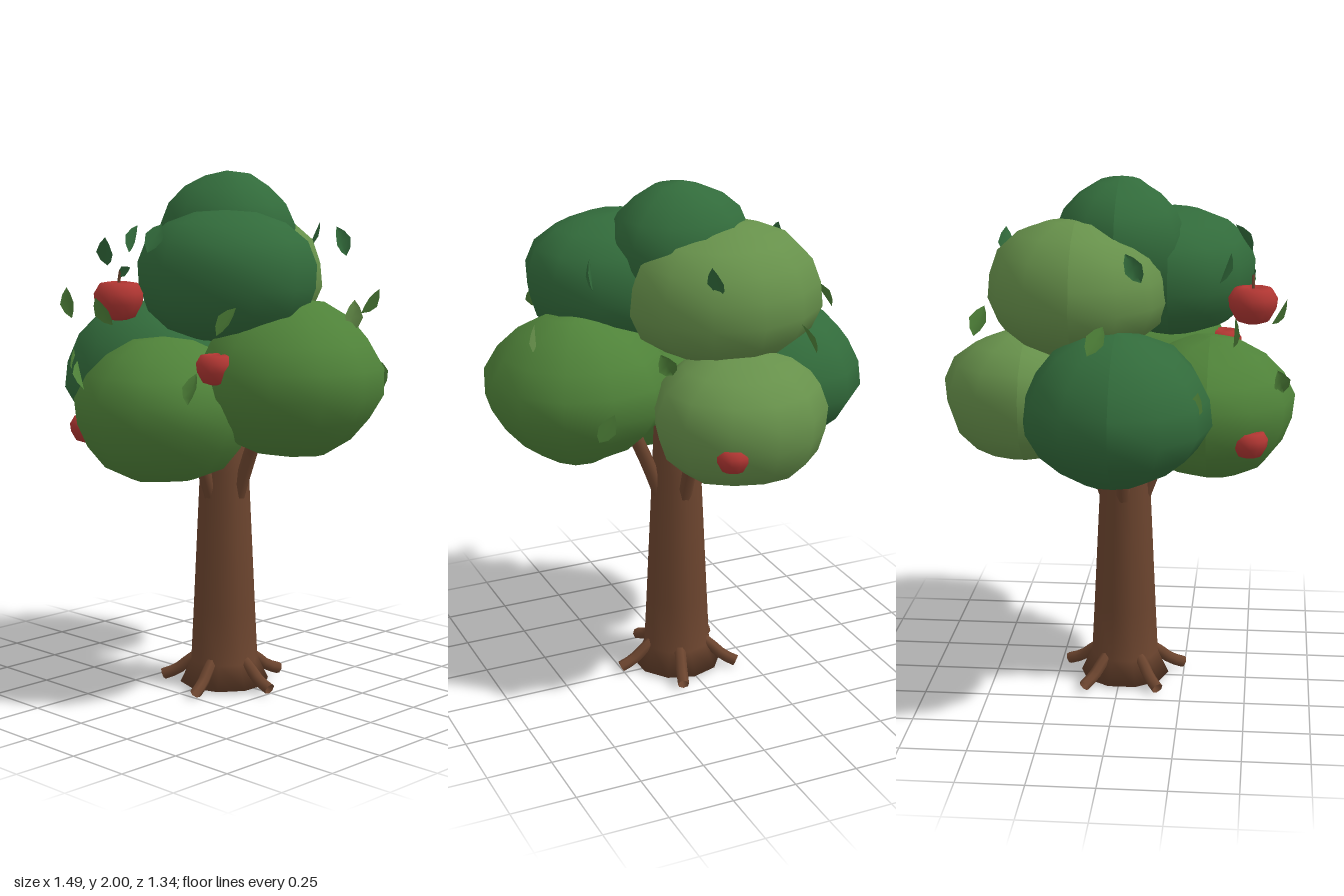
import * as THREE from 'three';

const paint = (color, side = THREE.FrontSide) => new THREE.MeshStandardMaterial({ color, side, roughness: 0.9 });

const COLORS = { dark: 0x326b3b, mid: 0x4f8239, light: 0x67914b, bark: 0x6b442e, fruit: 0xb03632 };

function add(parent, name, geometry, material) {
  const mesh = new THREE.Mesh(geometry, material);
  mesh.name = name;
  parent.add(mesh);
  return mesh;
}

// Low-poly foliage ball with a gentle, seam-safe wobble
function crownGeometry(seed) {
  const g = new THREE.SphereGeometry(1, 12, 9);
  const p = g.attributes.position;
  const v = new THREE.Vector3();
  for (let i = 0; i < p.count; i++) {
    v.fromBufferAttribute(p, i);
    const k = 1 + 0.03 * Math.sin(v.x * 5 + seed) * Math.cos(v.z * 4 + seed * 2) + 0.02 * Math.sin(v.y * 6 + seed * 3);
    v.multiplyScalar(k);
    p.setXYZ(i, v.x, v.y, v.z);
  }
  g.computeVertexNormals();
  return g;
}

// Pointed leaf with a folded midrib, lying along +y
function leafGeometry() {
  const rows = [[0, 0], [0.022, 0.025], [0.034, 0.06], [0.02, 0.095], [0, 0.12]];
  const pos = [], index = [];
  rows.forEach(([w, y]) => pos.push(-w, y - 0.06, w * 0.45, 0, y - 0.06, 0, w, y - 0.06, w * 0.45));
  for (let i = 0; i < rows.length - 1; i++) {
    for (let j = 0; j < 2; j++) {
      const a = i * 3 + j;
      index.push(a, a + 1, a + 4, a, a + 4, a + 3);
    }
  }
  const g = new THREE.BufferGeometry();
  g.setAttribute('position', new THREE.Float32BufferAttribute(pos, 3));
  g.setIndex(index);
  g.computeVertexNormals();
  return g;
}

function limb(points, radius) {
  const curve = new THREE.CatmullRomCurve3(points.map(p => new THREE.Vector3(...p)));
  return new THREE.TubeGeometry(curve, 5, radius, 7, false);
}

export function createModel() {
  const tree = new THREE.Group();
  tree.name = 'appleTree';
  const bark = paint(COLORS.bark, THREE.DoubleSide);

  // Flared trunk
  const wood = new THREE.Group();
  wood.name = 'wood';
  wood.position.set(0.012, 0, 0.015);
  tree.add(wood);
  const profile = [[0, 0.03], [0.175, 0.01], [0.132, 0.1], [0.122, 0.3], [0.108, 0.6], [0.096, 0.85], [0.085, 1.15], [0, 1.15]];
  add(wood, 'trunk', new THREE.LatheGeometry(profile.map(p => new THREE.Vector2(...p)), 10), bark);

  // Five roots, four branches
  for (let i = 0; i < 5; i++) {
    const a = i * Math.PI * 2 / 5, c = Math.cos(a), s = Math.sin(a);
    const path = [[0.09, 0.12], [0.14, 0.085], [0.19, 0.045], [0.245, 0.022]];
    add(wood, 'root', limb(path.map(([r, y]) => [c * r, y, s * r]), 0.023), bark);
  }
  for (let i = 0; i < 4; i++) {
    const a = i * Math.PI / 2, c = Math.cos(a), s = Math.sin(a);
    const path = [[0.075, 0.76], [0.12, 0.88], [0.18, 1.02], [0.26, 1.15]];
    add(wood, 'branch', limb(path.map(([r, y]) => [c * r, y, s * r]), 0.028), bark);
  }

  // Foliage: name, colour, centre, radii
  const crowns = [
    ['topFoliage', 'dark', [0.005, 1.75, -0.005], [0.275, 0.25, 0.245]],
    ['upperFrontFoliage', 'dark', [0.185, 1.62, 0.185], [0.365, 0.25, 0.32]],
    ['upperBackFoliage', 'light', [-0.11, 1.6, -0.15], [0.375, 0.265, 0.345]],
    ['lowerRightFoliage', 'dark', [-0.39, 1.2, 0.015], [0.36, 0.28, 0.35]],
    ['lowerLeftFoliage', 'mid', [0.395, 1.245, 0.055], [0.355, 0.285, 0.35]],
    ['lowerFrontFoliage', 'mid', [0.015, 1.125, 0.34], [0.35, 0.27, 0.33]],
    ['lowerBackFoliage', 'light', [-0.08, 1.185, -0.345], [0.335, 0.255, 0.325]],
  ];
  crowns.forEach(([name, color, center, radii], i) => {
    const m = add(tree, name, crownGeometry(i * 1.7), paint(COLORS[color]));
    m.position.set(...center);
    m.scale.set(...radii);
  });

  // Loose leaves around the crown: x, y, z, colour
  const leafShape = leafGeometry();
  const leaves = [
    [-0.43, 1.73, 0.08, 'dark'], [-0.23, 1.7, 0.4, 'dark'], [0.1, 1.76, 0.46, 'dark'],
    [0.43, 1.74, -0.18, 'dark'], [0.06, 1.74, -0.44, 'dark'],
    [-0.59, 1.5, -0.04, 'mid'], [-0.4, 1.5, 0.44, 'mid'], [-0.02, 1.5, 0.6, 'mid'],
    [0.43, 1.48, 0.43, 'mid'], [0.6, 1.48, -0.05, 'light'], [0.29, 1.49, -0.52, 'mid'], [-0.28, 1.5, -0.5, 'mid'],
    [-0.53, 1.25, 0.3, 'mid'], [-0.14, 1.26, 0.61, 'mid'], [0.33, 1.24, 0.5, 'mid'], [0.46, 1.23, -0.38, 'mid'],
  ];
  const leafPaint = {};
  for (const key of ['dark', 'mid', 'light']) leafPaint[key] = paint(COLORS[key], THREE.DoubleSide);
  leaves.forEach(([x, y, z, color], i) => {
    const m = add(tree, 'leaf', leafShape, leafPaint[color]);
    m.position.set(x, y, z);
    m.rotation.set(0.5 * Math.sin(i * 2.1), Math.atan2(x, z) + 0.9 * Math.sin(i * 1.3), 0.5 * Math.cos(i * 1.9), 'YXZ');
  });

  // Apples: centre and size
  const applePoints = [[0, -0.55], [0.3, -0.72], [0.65, -0.6], [0.93, -0.1], [0.98, 0.3], [0.75, 0.68], [0.4, 0.74], [0, 0.5]];
  const appleShape = new THREE.LatheGeometry(applePoints.map(p => new THREE.Vector2(...p)), 12);
  const red = paint(COLORS.fruit);
  const apples = [
    [-0.05, 1.53, 0.5, 0.095], [0.33, 1.3, 0.38, 0.075], [-0.23, 1.04, 0.5, 0.07],
    [0.03, 1.72, 0.34, 0.06], [0.06, 1.12, -0.58, 0.065],
  ];
  apples.forEach(([x, y, z, size], i) => {
    const apple = new THREE.Group();
    apple.name = 'apple';
    apple.position.set(x, y, z);
    apple.scale.setScalar(size);
    tree.add(apple);
    add(apple, 'appleFlesh', appleShape, red);
    if (i > 0) return;
    // Only the exposed apple shows its stem and leaf
    add(apple, 'appleStem', limb([[0, 0.5, 0], [0.03, 0.85, 0], [0.12, 1.2, 0]], 0.06), bark);
    const m = add(apple, 'appleLeaf', leafShape, leafPaint.dark);
    m.position.set(0.35, 1.15, 0);
    m.rotation.z = -1.1;
    m.scale.setScalar(6);
  });

  return tree;
}
